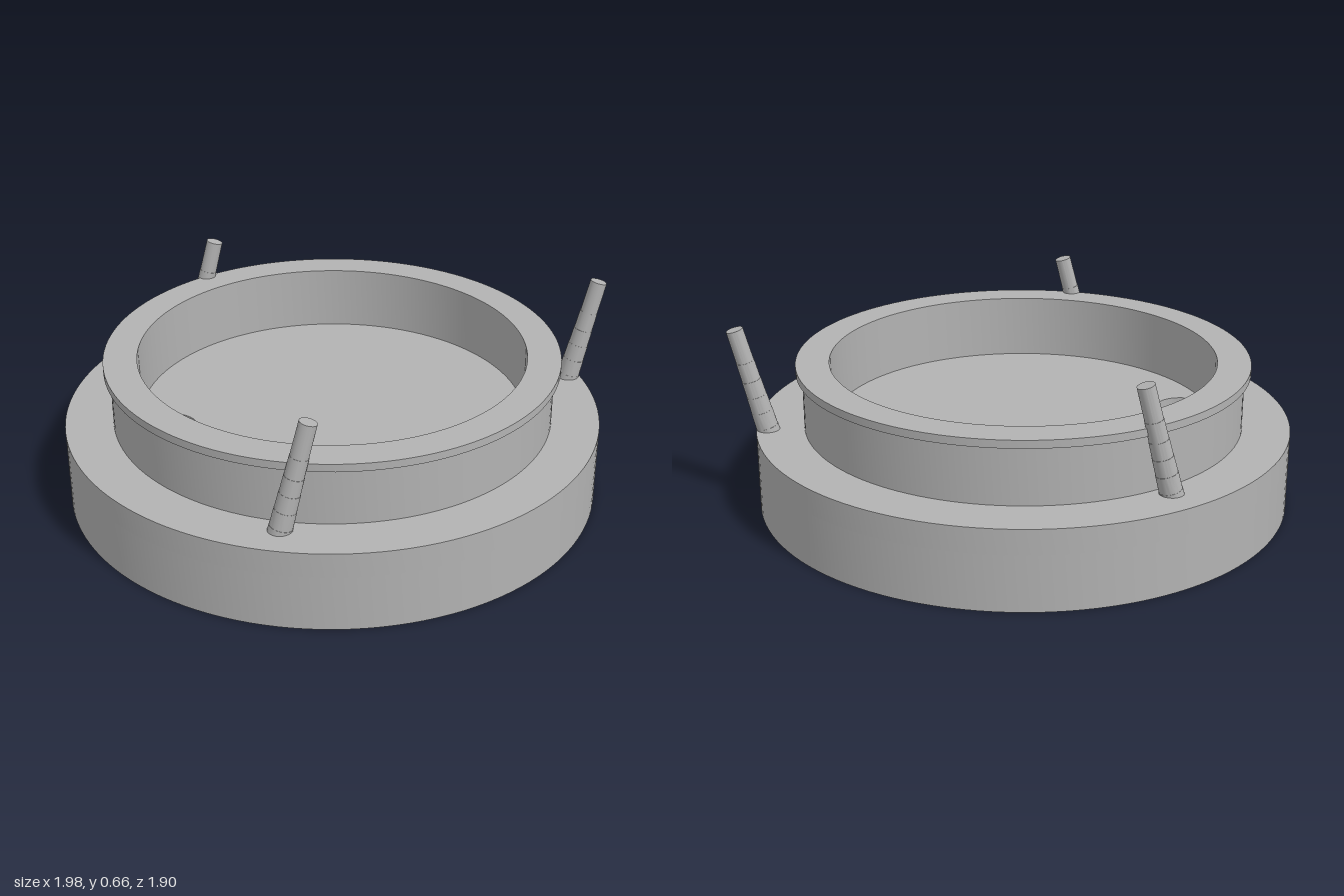
import * as THREE from 'three';
import { toCreasedNormals } from 'three/addons/utils/BufferGeometryUtils.js';

const CX = -0.05;                    // axis of the round body
const BASE_R = 0.95, BASE_TOP = 0.284, POCKET_TOP = 0.196;
const HOLE_X = -0.64, HOLE_R = 0.096; // drain hole and slot half width

export function createModel() {
  const grey = new THREE.MeshStandardMaterial({ color: 0xb2b2b2 });
  grey.name = 'grey';
  const model = new THREE.Group();
  model.name = 'pinnedDish';

  const add = (name, geometry, x = 0, y = 0, z = 0) => {
    const mesh = new THREE.Mesh(toCreasedNormals(geometry, 0.5), grey);
    mesh.name = name;
    mesh.position.set(x, y, z);
    model.add(mesh);
    return mesh;
  };

  // Round slab with one opening, extruded upwards
  const slab = (opening, height) => {
    const disc = new THREE.Shape().absarc(CX, 0, BASE_R, 0, Math.PI * 2);
    disc.holes.push(opening);
    return new THREE.ExtrudeGeometry(disc, { depth: height, bevelEnabled: false, curveSegments: 64 })
      .rotateX(-Math.PI / 2);
  };

  // Lower base: round pocket joined by a slot to the drain hole
  const pocketR = 0.356, a = Math.asin(HOLE_R / pocketR);
  const keyhole = new THREE.Path();
  keyhole.absarc(CX, 0, pocketR, Math.PI + a, 3 * Math.PI - a, false);
  keyhole.absarc(HOLE_X, 0, HOLE_R, Math.PI / 2, Math.PI * 1.5, false);
  keyhole.closePath();
  add('lowerBase', slab(keyhole, POCKET_TOP));

  // Upper base: dish floor pierced by the drain hole
  const drain = new THREE.Path().absarc(HOLE_X, 0, HOLE_R, 0, Math.PI * 2);
  add('upperBase', slab(drain, BASE_TOP - POCKET_TOP), 0, POCKET_TOP);

  // Ring wall with a thin overhanging rim
  const wall = [[0.781, BASE_TOP], [0.781, 0.487], [0.803, 0.487], [0.803, 0.515], [0.685, 0.515], [0.685, BASE_TOP]];
  add('ringWall', new THREE.LatheGeometry(wall.map(p => new THREE.Vector2(...p)), 128), CX);

  // Leaning pins: stepped shank, slimmer towards the top, origin at the tip
  const steps = [[-0.43, 0.041], [-0.37, 0.039], [-0.31, 0.037], [-0.25, 0.035], [-0.19, 0.033], [-0.12, 0.031]];
  const profile = [new THREE.Vector2(0, -0.43)];
  steps.forEach(([y, r], i) => {
    const top = i + 1 < steps.length ? steps[i + 1][0] : 0;
    profile.push(new THREE.Vector2(r, y), new THREE.Vector2(r - 0.001, top));
  });
  profile.push(new THREE.Vector2(0, 0));
  const pin = new THREE.LatheGeometry(profile, 24);
  for (const [name, x, z] of [['sidePin', 0.953, 0], ['frontPin', -0.322, 0.742], ['backPin', -0.322, -0.742]]) {
    add(name, pin, x, 0.655, z).rotation.z = -0.25;
  }
  return model;
}
